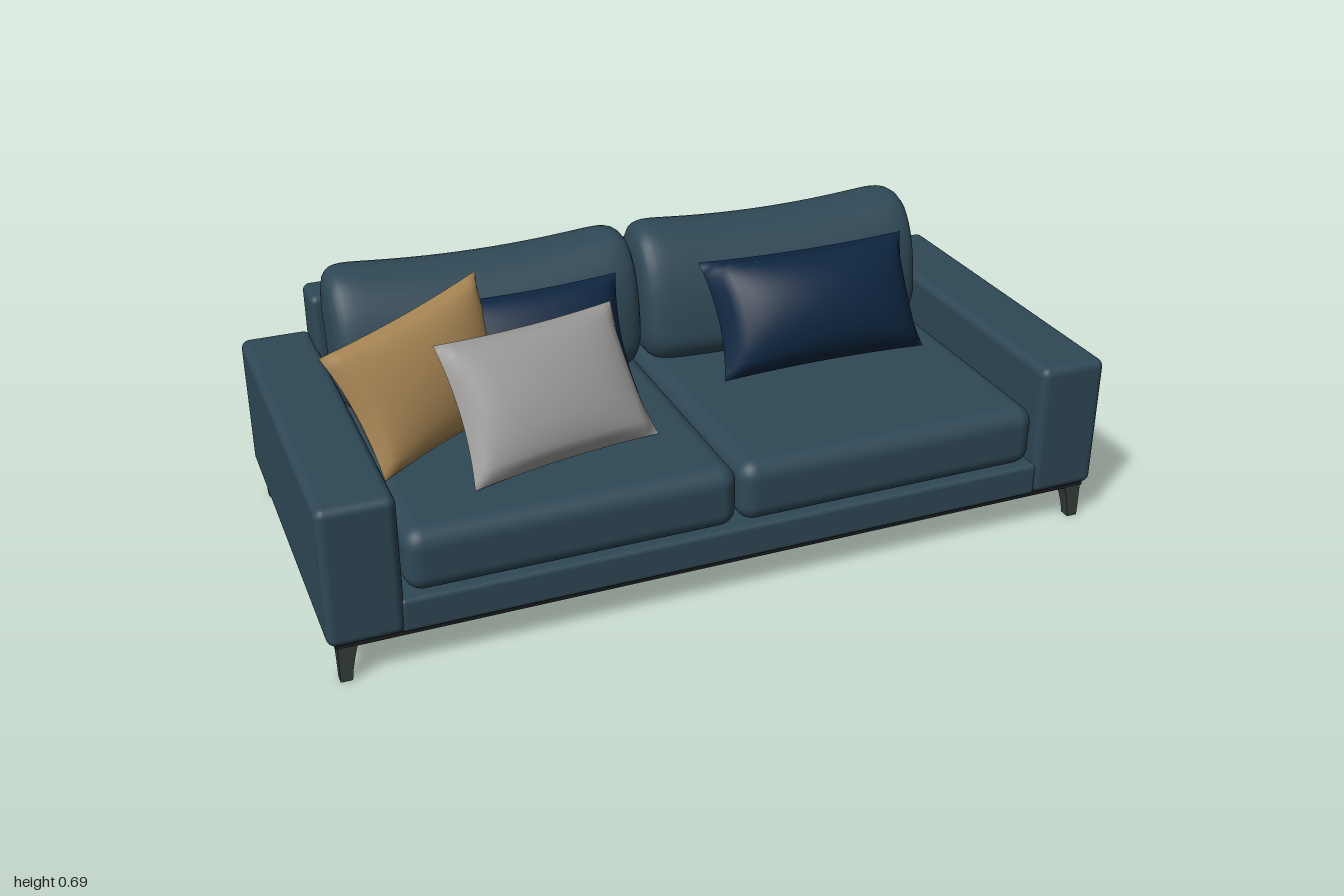
import * as THREE from 'three';
import { RoundedBoxGeometry } from 'three/addons/geometries/RoundedBoxGeometry.js';
import { ParametricGeometry } from 'three/addons/geometries/ParametricGeometry.js';

const material = (name, color) => {
  const m = new THREE.MeshStandardMaterial({ color });
  m.name = name;
  return m;
};

export function createModel() {
  const group = new THREE.Group();
  const teal = material('teal fabric', 0x2f4856);
  const navy = material('navy fabric', 0x0d2640);
  const tan = material('tan fabric', 0xa98755);
  const grey = material('light grey fabric', 0x9c9b9a);
  const legPaint = material('dark leg', 0x353e3c);
  const liner = material('black underside', 0x1b1c1c);

  const add = (name, geometry, mat) => {
    const mesh = new THREE.Mesh(geometry, mat);
    mesh.name = name;
    group.add(mesh);
    return mesh;
  };

  // Rounded block given by its minimum and maximum corners
  const block = (name, [x0, y0, z0], [x1, y1, z1], radius, mat) => {
    const g = new RoundedBoxGeometry(x1 - x0, y1 - y0, z1 - z0, 5, radius);
    g.translate((x0 + x1) / 2, (y0 + y1) / 2, (z0 + z1) / 2);
    return add(name, g, mat);
  };

  // Frame
  block('base', [-0.83, 0.1, -0.45], [0.83, 0.187, 0.468], 0.012, teal);
  const back = block('backrest', [-0.828, 0.1, -0.475], [0.828, 0.585, -0.36], 0.018, teal);
  const bp = back.geometry.attributes.position;
  for (let i = 0; i < bp.count; i++) { // front of the backrest slopes
    if (bp.getZ(i) > -0.417) bp.setZ(i, bp.getZ(i) + (0.585 - bp.getY(i)) * 0.2);
  }

  // Underside liner and rounded panel below it
  add('underside', new THREE.BoxGeometry(1.965, 0.02, 0.915), liner).position.y = 0.1;
  const [w, d, r] = [0.76, 0.3, 0.16];
  const s = new THREE.Shape();
  s.moveTo(-w + r, -d);
  s.lineTo(w - r, -d);
  s.quadraticCurveTo(w, -d, w, -d + r);
  s.lineTo(w, d - r);
  s.quadraticCurveTo(w, d, w - r, d);
  s.lineTo(-w + r, d);
  s.quadraticCurveTo(-w, d, -w, d - r);
  s.lineTo(-w, -d + r);
  s.quadraticCurveTo(-w, -d, -w + r, -d);
  const panel = new THREE.ExtrudeGeometry(s, { depth: 0.02, bevelEnabled: false, curveSegments: 10 });
  panel.rotateX(-Math.PI / 2).translate(0, 0.075, 0.09);
  add('bottomPanel', panel, teal);

  // Side profile of a back cushion, running up the front and down the back
  const profile = new THREE.CatmullRomCurve3([
    [0.34, -0.15], [0.39, -0.105], [0.46, -0.108], [0.55, -0.13], [0.62, -0.165], [0.675, -0.22],
    [0.697, -0.285], [0.68, -0.355], [0.62, -0.378], [0.54, -0.36], [0.42, -0.335], [0.345, -0.31],
  ].map(([y, z]) => new THREE.Vector3(0, y, z)), true);

  for (const side of [-1, 1]) {
    const label = side > 0 ? 'left' : 'right';
    block(label + 'Arm', [side * 0.91 - 0.09, 0.1, -0.472], [side * 0.91 + 0.09, 0.455, 0.472], 0.022, teal);
    block(label + 'SeatCushion', [side * 0.407 - 0.405, 0.19, -0.38], [side * 0.407 + 0.405, 0.35, 0.47], 0.045, teal);

    // Back cushion: swept profile, closed at the ends and sagging in the middle
    const cushion = new ParametricGeometry((u, v, out) => {
      const t = Math.sin((u - 0.5) * Math.PI);
      const k = Math.pow(Math.max(0, 1 - Math.pow(t, 16)), 0.2);
      const p = profile.getPoint(v % 1);
      const height = Math.max(0, (p.y - 0.45) / 0.25);
      const front = Math.max(0, (p.z + 0.24) / 0.14);
      const y = p.y - 0.028 * height * (1 - t * t);
      const z = p.z - 0.03 * front * t * t;
      out.set(side * 0.407 + t * 0.403, 0.52 + (y - 0.52) * k, -0.25 + (z + 0.25) * k);
    }, 40, 48);
    cushion.computeVertexNormals();
    add(label + 'BackCushion', cushion, teal);

    // Tapered legs with straight outer faces
    for (const end of [-1, 1]) {
      const g = new THREE.BoxGeometry(0.05, 0.105, 0.048, 1, 4, 1);
      const p = g.attributes.position;
      for (let i = 0; i < p.count; i++) {
        const f = (p.getY(i) + 0.0525) / 0.105;
        const k = 0.56 + 0.44 * Math.pow(f, 1.4);
        p.setX(i, side * (0.978 - (0.025 - p.getX(i) * side) * k));
        p.setZ(i, end * (0.457 - (0.024 - p.getZ(i) * end) * k));
      }
      g.translate(0, 0.0525, 0);
      g.computeVertexNormals();
      add(label + (end > 0 ? 'FrontLeg' : 'RearLeg'), g, legPaint);
    }
  }

  // Throw pillow stretched between four corners, puffed along its normal
  const pillow = (name, mat, corners, front, rear) => {
    const [tl, tr, bl, br] = corners.map((c) => new THREE.Vector3(...c));
    const normal = tr.clone().sub(tl).add(br).sub(bl)
      .cross(tl.clone().sub(bl).add(tr).sub(br)).normalize();
    const g = new THREE.BoxGeometry(2, 2, 2, 24, 20, 1);
    const p = g.attributes.position;
    for (let i = 0; i < p.count; i++) {
      const [x, y] = [p.getX(i), p.getY(i)];
      const u = x * (1 - 0.07 * (1 - y * y)) / 2 + 0.5;
      const v = y * (1 - 0.05 * (1 - x * x)) / 2 + 0.5;
      const puff = Math.pow(Math.max(0, (1 - x * x) * (1 - y * y)), 0.45);
      const top = tl.clone().lerp(tr, u);
      const q = bl.clone().lerp(br, u).lerp(top, v);
      q.addScaledVector(normal, puff * (p.getZ(i) > 0 ? front : -rear));
      p.setXYZ(i, q.x, q.y, q.z);
    }
    g.computeVertexNormals();
    add(name, g, mat);
  };
  pillow('leftNavyPillow', navy,
    [[0.13, 0.63, -0.11], [0.72, 0.63, -0.11], [0.14, 0.36, 0.05], [0.72, 0.36, 0.05]], 0.12, 0.08);
  pillow('rightNavyPillow', navy,
    [[-0.57, 0.62, -0.13], [-0.09, 0.63, -0.13], [-0.57, 0.36, 0.0], [-0.09, 0.36, 0.03]], 0.07, 0.07);
  pillow('tanPillow', tan,
    [[-0.9, 0.645, 0.12], [-0.45, 0.68, -0.16], [-0.79, 0.35, 0.21], [-0.42, 0.36, -0.02]], 0.08, 0.07);
  pillow('greyPillow', grey,
    [[-0.645, 0.65, 0.16], [-0.16, 0.625, 0.02], [-0.61, 0.352, 0.335], [-0.12, 0.355, 0.24]], 0.08, 0.08);

  return group;
}
